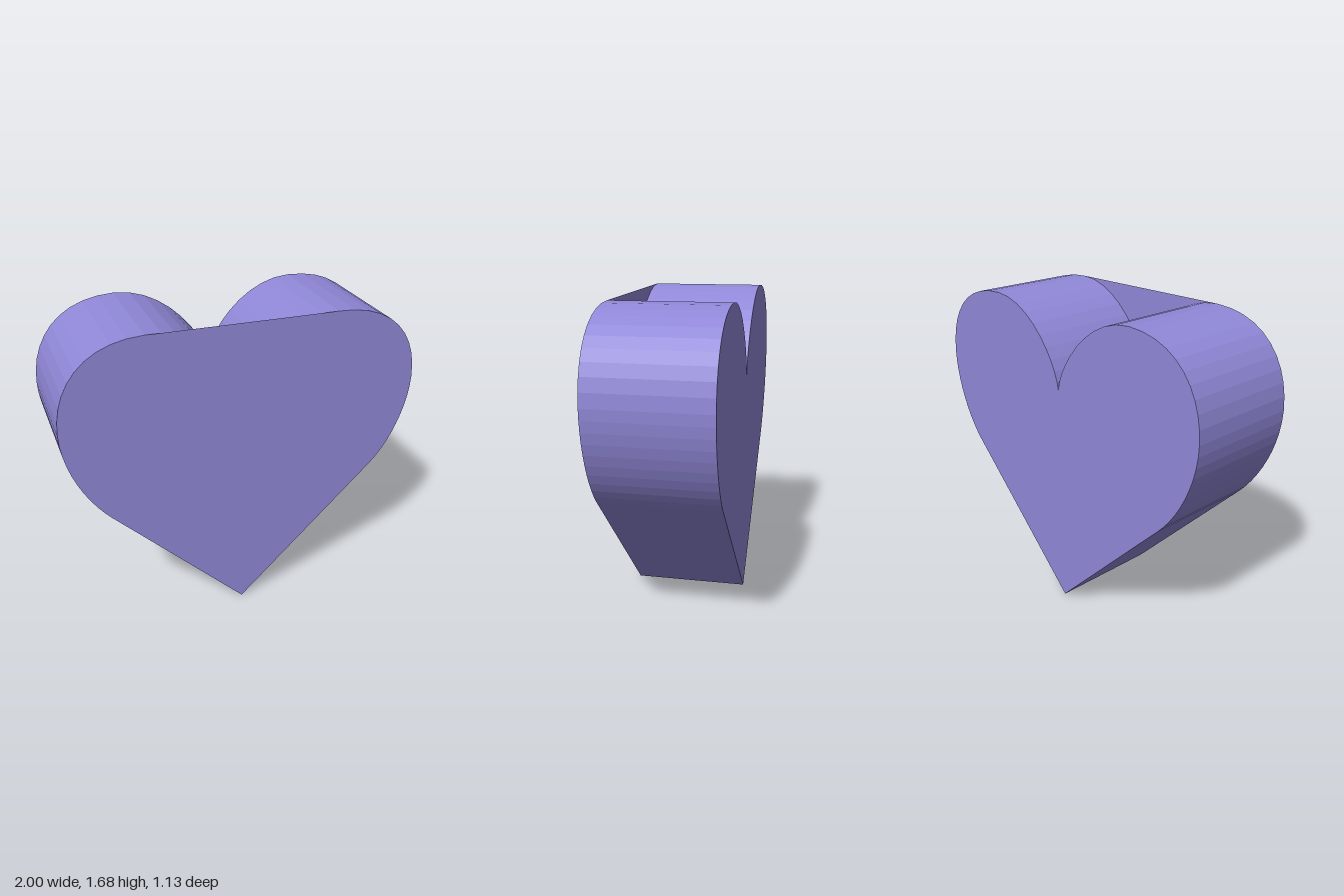
import * as THREE from 'three';

const DEPTH = 0.616;
const TIP = [-0.018, 0];
const NOTCH = [0, 1.24];
const TOP_L = [-0.508, 1.68];
const TOP_R = [0.482, 1.665];

// Inner curves of the two lobes, from right top down to the notch and up to left top
function notchCurve(shape) {
  shape.bezierCurveTo(0.2, 1.665, 0.01, 1.37, ...NOTCH);
  shape.bezierCurveTo(-0.01, 1.37, -0.22, 1.68, ...TOP_L);
}

export function createModel() {
  const group = new THREE.Group();
  group.name = 'heart';
  const material = new THREE.MeshStandardMaterial({ color: 0x9088d8, side: THREE.DoubleSide });

  // Heart outline, counter-clockwise from the bottom tip
  const outline = new THREE.Shape();
  outline.moveTo(...TIP);
  outline.lineTo(0.743, 0.73);
  outline.bezierCurveTo(0.86, 0.843, 0.951, 1.05, 0.951, 1.235);
  outline.bezierCurveTo(0.951, 1.48, 0.8, 1.665, ...TOP_R);
  notchCurve(outline);
  outline.bezierCurveTo(-0.81, 1.68, -0.951, 1.48, -0.951, 1.24);
  outline.bezierCurveTo(-0.951, 1.05, -0.85, 0.845, -0.727, 0.72);
  outline.lineTo(...TIP);

  const bodyGeo = new THREE.ExtrudeGeometry(outline, { depth: DEPTH, bevelEnabled: false, curveSegments: 10 });
  bodyGeo.translate(0, 0, -DEPTH / 2);
  const body = new THREE.Mesh(bodyGeo, material);
  body.name = 'heartBody';

  // Flat panel closing the notch on the front face only
  const panel = new THREE.Shape();
  panel.moveTo(...TOP_R);
  notchCurve(panel);
  panel.lineTo(...TOP_R);
  const panelGeo = new THREE.ShapeGeometry(panel, 10);
  // face the front
  panelGeo.translate(0, 0, DEPTH / 2);
  const bridge = new THREE.Mesh(panelGeo, material);
  bridge.name = 'frontNotchPanel';

  group.add(body, bridge);
  group.rotation.y = 0.288;
  return group;
}
